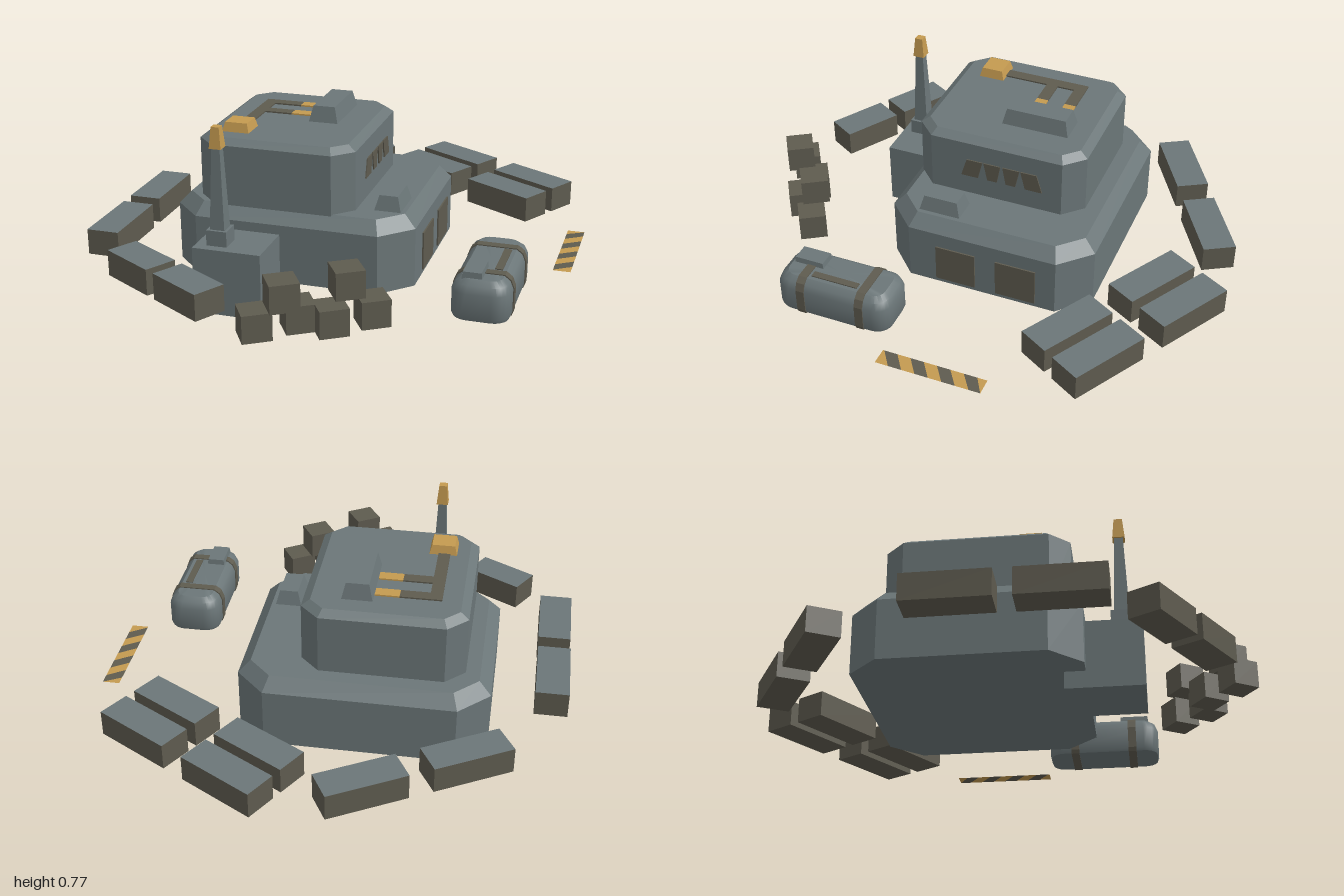
import * as THREE from 'three';
import { toCreasedNormals } from 'three/addons/utils/BufferGeometryUtils.js';

const TILT = Math.PI / 6;

function material(name, color, side = THREE.FrontSide) {
  const m = new THREE.MeshStandardMaterial({ color, side });
  m.name = name;
  return m;
}

// Outline with cut (seg 1), rounded (seg > 1) or square (seg 0) corners
function outline(a, b, c, seg) {
  const pts = [];
  for (let q = 0; q < 4; q++) {
    const sx = q === 0 || q === 3 ? 1 : -1, sz = q < 2 ? 1 : -1;
    if (seg === 0) { pts.push([sx * a, sz * b]); continue; }
    for (let i = 0; i <= seg; i++) {
      const t = (q + i / seg) * Math.PI / 2;
      pts.push([sx * (a - c) + c * Math.cos(t), sz * (b - c) + c * Math.sin(t)]);
    }
  }
  return pts;
}

// Closed solid from stacked outlines; rows are [height, inset]
function loft(a, b, c, seg, rows) {
  const rings = rows.map(([y, d]) =>
    outline(a - d, b - d, Math.max(c - 0.586 * d, 0), seg).map(([x, z]) => [x, y, z]));
  const pos = [], n = rings[0].length, last = rings.length - 1;
  const tri = (...p) => p.forEach(v => pos.push(...v));
  for (let j = 0; j < n; j++) {
    const k = (j + 1) % n;
    for (let i = 0; i < last; i++) {
      const p = rings[i], q = rings[i + 1];
      tri(p[j], q[j], p[k]);
      tri(p[k], q[j], q[k]);
    }
    tri([0, rows[last][0], 0], rings[last][k], rings[last][j]);
    tri([0, rows[0][0], 0], rings[0][j], rings[0][k]);
  }
  const g = new THREE.BufferGeometry();
  g.setAttribute('position', new THREE.Float32BufferAttribute(pos, 3));
  g.computeVertexNormals();
  return seg > 1 ? toCreasedNormals(g, 0.6) : g;
}

// Square-cornered block from y0 to y1, narrowing by inset
const block = (w, d, y0, y1, inset = 0) => loft(w / 2, d / 2, 0, 0, [[y0, 0], [y1, inset]]);

function polygon(pts, depth) {
  const shape = new THREE.Shape(pts.map(p => new THREE.Vector2(...p)));
  return new THREE.ExtrudeGeometry(shape, { depth, bevelEnabled: false });
}

export function createModel() {
  const model = new THREE.Group();
  model.name = 'bunkerOutpost';
  const steel = material('slateGrey', 0x6b7678);
  const dark = material('oliveBrown', 0x5e5b4f);
  const gold = material('ochre', 0xc49a50);
  const darkSheet = material('oliveBrownSheet', 0x5e5b4f, THREE.DoubleSide);
  const goldSheet = material('ochreSheet', 0xc49a50, THREE.DoubleSide);

  const add = (parent, name, geo, mat, x = 0, y = 0, z = 0, ry = 0) => {
    const m = new THREE.Mesh(geo, mat);
    m.name = name;
    m.position.set(x, y, z);
    m.rotation.y = ry;
    parent.add(m);
    return m;
  };
  const group = (name, x, z) => {
    const g = new THREE.Group();
    g.name = name;
    g.position.set(x, 0, z);
    g.rotation.y = TILT;
    model.add(g);
    return g;
  };

  // Lower hull with two front shutters
  const hull = group('hull', -0.03, -0.176);
  add(hull, 'hullBody', loft(0.45, 0.515, 0.125, 1, [[0.07, 0], [0.32, 0], [0.373, 0.05]]), steel);
  // outline() places cut corners on the arc ends, so one segment gives a flat chamfer
  for (const u of [-0.115, 0.152])
    add(hull, 'frontShutter', new THREE.BoxGeometry(0.175, 0.165, 0.009), dark, u, 0.172, 0.517);

  // Upper storey
  const turret = group('upperStorey', -0.097, -0.22);
  add(turret, 'upperBody', loft(0.37, 0.335, 0.08, 1, [[0.36, 0], [0.623, 0], [0.648, 0.035]]), steel);

  // Four vision slits, mirrored about the middle
  for (const s of [-1, 1]) {
    const outer = [[0.105, 0.462], [0.18, 0.462], [0.155, 0.543], [0.085, 0.543]];
    const inner = [[0.02, 0.462], [0.062, 0.462], [0.08, 0.543], [0.005, 0.543]];
    for (const pts of [outer, inner])
      add(turret, 'visionSlit', polygon(pts.map(([x, y]) => [s * x, y]), 0.008), dark, 0.026, 0, 0.332);
  }

  // Roof: hatch, cable run with two side branches, beacon box
  add(turret, 'roofHatch', block(0.294, 0.13, 0.64, 0.715, 0.018), steel, 0.11, 0, 0.115);
  add(turret, 'roofCable', new THREE.BoxGeometry(0.42, 0.008, 0.05), dark, 0, 0.65, -0.195);
  for (const u of [0.06, 0.185]) {
    add(turret, 'cableBranch', new THREE.BoxGeometry(0.05, 0.008, 0.12), dark, u, 0.65, -0.11);
    add(turret, 'cableConnector', new THREE.BoxGeometry(0.05, 0.009, 0.1), gold, u, 0.65, 0);
  }
  add(turret, 'roofBeacon', block(0.115, 0.12, 0.64, 0.687, 0.012), gold, -0.21, 0, -0.19);

  // Small box on the front ledge
  add(model, 'ledgeBox', block(0.186, 0.118, 0.36, 0.435, 0.02), steel, -0.02, 0, 0.27, TILT);

  // Side annex with mast
  add(model, 'annex', block(0.31, 0.287, 0, 0.28), steel, -0.565, 0, -0.06, TILT);
  const mast = group('mast', -0.655, -0.07);
  add(mast, 'mastFoot', block(0.086, 0.086, 0.27, 0.345), steel);
  add(mast, 'mastPole', block(0.062, 0.062, 0.34, 0.69, 0.014), steel);
  add(mast, 'mastLamp', block(0.05, 0.05, 0.682, 0.77, 0.008), gold);

  // Ring of wall blocks: brown with grey tops; [x, z, length, turn]
  const wall = [
    [0.74, -0.21, 0.345, Math.PI / 2], [0.922, -0.21, 0.345, Math.PI / 2],
    [0.74, 0.238, 0.345, Math.PI / 2], [0.922, 0.238, 0.345, Math.PI / 2],
    [0.258, -0.857, 0.34, -TILT], [0.64, -0.635, 0.34, -TILT],
    [-0.4, -0.84, 0.34, TILT], [-0.755, -0.633, 0.34, TILT],
    [-0.928, -0.233, 0.265, Math.PI / 2], [-0.928, 0.078, 0.265, Math.PI / 2],
  ];
  const wallMats = [dark, dark, steel, dark, dark, dark];
  for (const [x, z, len, turn] of wall)
    add(model, 'wallBlock', new THREE.BoxGeometry(len, 0.11, 0.138), wallMats, x, 0.2, z, turn);

  // Stacked cubes; [x, z, y]
  const cubes = [[-0.89, 0.425, 0.185], [-0.815, 0.495, 0.303], [-0.725, 0.48, 0.185],
    [-0.66, 0.59, 0.185], [-0.565, 0.575, 0.303], [-0.495, 0.64, 0.185]];
  for (const [x, z, y] of cubes)
    add(model, 'rubbleCube', new THREE.BoxGeometry(0.115, 0.112, 0.115), dark, x, y, z, -0.48);

  // Rounded tank with two straps, a top strip and a cap
  const tank = group('tank', -0.005, 0.795);
  add(tank, 'tankBody', loft(0.248, 0.114, 0.065, 5,
    [[0.135, 0.006], [0.15, 0], [0.245, 0], [0.275, 0.012], [0.293, 0.035]]), steel);
  const half = [[0.111, 0.132], [0.118, 0.15], [0.118, 0.246], [0.105, 0.279], [0.081, 0.297]];
  const section = [...half, ...half.map(([z, y]) => [-z, y]).reverse()];
  for (const u of [-0.13, 0.13])
    add(tank, 'tankStrap', polygon(section, 0.036), dark, u - 0.018, 0, 0, Math.PI / 2);
  add(tank, 'tankStrip', new THREE.BoxGeometry(0.2, 0.008, 0.03), dark, 0, 0.293, 0.048);
  add(tank, 'tankCap', block(0.13, 0.08, 0.285, 0.316, 0.004), steel, -0.142, 0, -0.034);

  // Striped flat barrier panel
  const barrier = group('stripedBarrier', 0.545, 0.753);
  const clamp = u => Math.min(0.22, Math.max(-0.22, u));
  for (let i = 0; i < 9; i++) {
    const u = -0.27 + i * 0.056, v = 0.036, lean = 0.05;
    const pts = [[clamp(u), v], [clamp(u + 0.056), v], [clamp(u + 0.056 + lean), -v], [clamp(u + lean), -v]];
    const geo = new THREE.ShapeGeometry(new THREE.Shape(pts.map(p => new THREE.Vector2(...p))));
    geo.rotateX(-Math.PI / 2);
    add(barrier, 'barrierStripe', geo, i % 2 ? darkSheet : goldSheet, 0, 0.15, 0);
  }
  return model;
}
